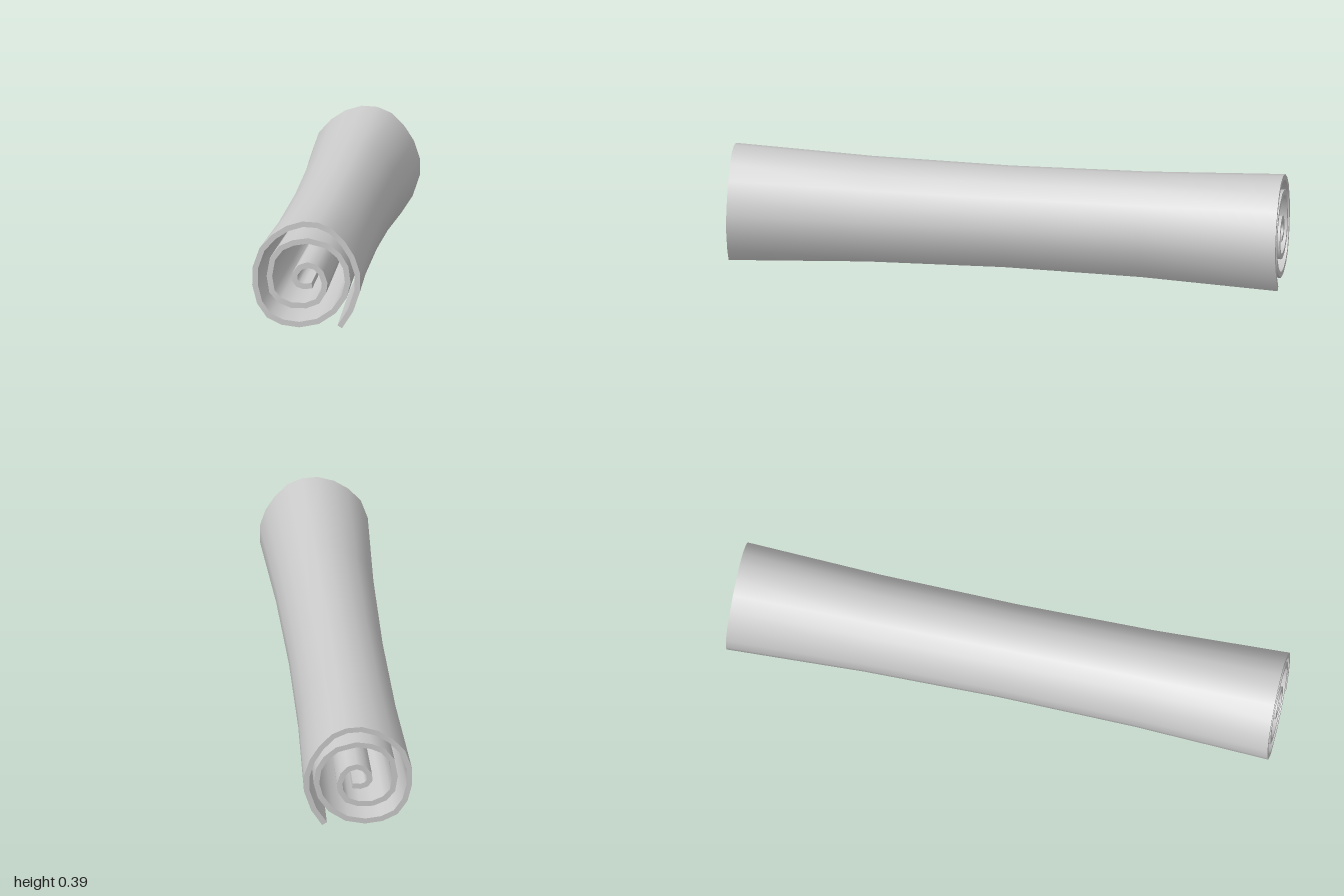
import * as THREE from 'three';

// Outer line of the rolled sheet, from the loose edge in to the core (hundredths of a unit: x, y)
const ROLL = [
  [12.9, 0.1], [16.9, 6.3], [19.5, 14], [19.5, 20.3], [17.4, 26.7], [14.1, 31.9], [9.4, 36.7],
  [4.2, 38.9], [-1.5, 39.2], [-7.4, 37.4], [-12.6, 34], [-17.1, 29], [-19.6, 21.9], [-19.7, 15.4],
  [-18, 8.7], [-14.4, 3.5], [-9, 0.9], [-2.6, 0.1], [4.5, 1.5], [10.6, 5.6], [14.5, 11.2],
  [16, 17], [15.2, 22.9], [12.4, 27.6], [7.9, 31.3], [0.6, 33.1], [-5.1, 32.2], [-9.9, 30],
  [-13.3, 25.6], [-14.5, 18.8], [-13.5, 12.8], [-10.4, 9.2], [-5.6, 7.2], [-0.1, 7.2],
  [4.6, 9], [7.2, 13.1], [7.6, 16.7], [6.2, 20.8], [3.8, 23.3], [0.3, 24.2], [-2.9, 23.1],
  [-5.1, 20.3], [-5.4, 17.4], [-3.7, 15.1], [-1.1, 14.2], [2.1, 14.6],
];
const THICKNESS = 0.02;
const CENTRE = new THREE.Vector2(0, 0.197);
const STATIONS = [-1, -0.5, 0, 0.5, 1];

// Offset a polyline to its left with mitred corners
function offsetLeft(points, distance) {
  const normals = points.slice(1).map((p, i) => {
    const d = p.clone().sub(points[i]).normalize();
    return new THREE.Vector2(-d.y, d.x);
  });
  return points.map((p, i) => {
    const a = normals[Math.max(i - 1, 0)];
    const b = normals[Math.min(i, normals.length - 1)];
    const m = a.clone().add(b).normalize();
    return p.clone().addScaledVector(m, distance / m.dot(a));
  });
}

// Place a section point along the length; the roll is narrower at its waist
function place(p, z) {
  const s = 0.868 + 0.132 * z * z;
  return new THREE.Vector3((p.x - CENTRE.x) * s + CENTRE.x, (p.y - CENTRE.y) * s + CENTRE.y, z);
}

// Smooth surface through equal-length rows of points
function skin(name, rows, material) {
  const n = rows[0].length;
  const index = [];
  for (let r = 0; r < rows.length - 1; r++) {
    for (let c = 0; c < n - 1; c++) {
      const a = r * n + c, b = a + 1, d = a + n, e = d + 1;
      index.push(a, b, e, a, e, d);
    }
  }
  const geometry = new THREE.BufferGeometry().setFromPoints(rows.flat());
  geometry.setIndex(index);
  geometry.computeVertexNormals();
  const mesh = new THREE.Mesh(geometry, material);
  mesh.name = name;
  return mesh;
}

export function createModel() {
  const group = new THREE.Group();
  group.name = 'scroll';
  const material = new THREE.MeshStandardMaterial({ color: 0xcccccc });

  const outer = ROLL.map(([x, y]) => new THREE.Vector2(x / 100, y / 100));
  const inner = offsetLeft(outer, THICKNESS);
  const last = outer.length - 1;

  const sweep = (line) => STATIONS.map((z) => line.map((p) => place(p, z)));
  const cap = (lines, z) => lines.map((line) => line.map((p) => place(p, z)));

  group.add(
    // Two faces of the sheet
    skin('sheetOutside', sweep(outer), material),
    skin('sheetInside', sweep([...inner].reverse()), material),
    // Spiral ends
    skin('frontEnd', cap([outer, inner], 1), material),
    skin('backEnd', cap([inner, outer], -1), material),
    // Long edges of the sheet
    skin('looseEdge', sweep([inner[0], outer[0]]), material),
    skin('coreEdge', sweep([outer[last], inner[last]]), material),
  );
  return group;
}
